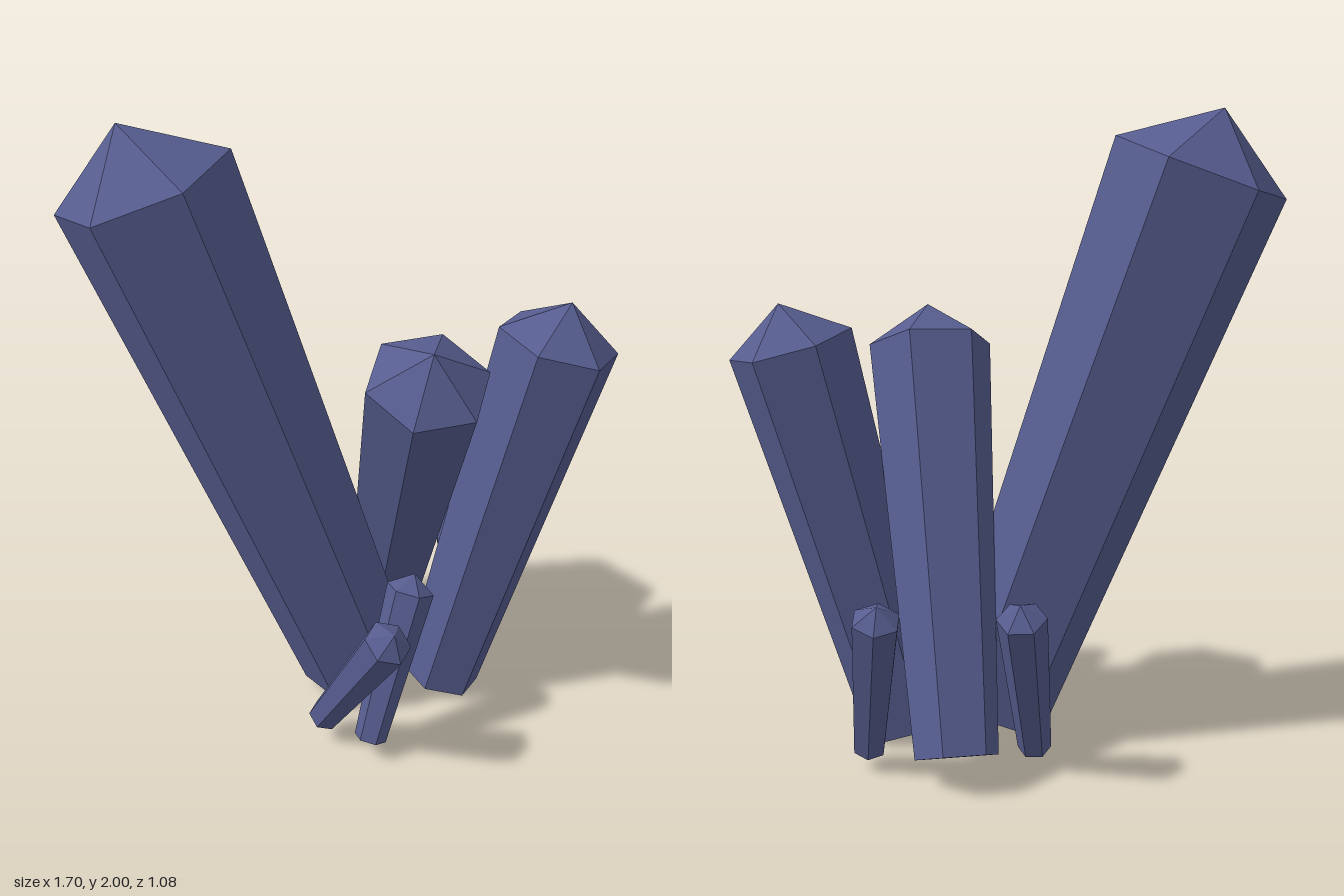
import * as THREE from 'three';

const material = new THREE.MeshStandardMaterial({ color: 0x565d8f, flatShading: true });

// Six-sided crystal from the base centre to the shoulder centre, with a pointed cap.
// corner = [x, z] heading of one of its six edges.
function crystal(name, base, shoulder, baseRadius, topRadius, capHeight, corner) {
  const from = new THREE.Vector3(...base);
  const axis = new THREE.Vector3(...shoulder).sub(from);
  const length = axis.length();
  axis.normalize();

  const geometry = new THREE.LatheGeometry([
    new THREE.Vector2(0, 0),
    new THREE.Vector2(baseRadius, 0),
    new THREE.Vector2(topRadius, length),
    new THREE.Vector2(0, length + capHeight),
  ], 6);

  // Roll the prism so that its first edge points to the corner heading
  const [cx, cz] = corner;
  const edge = new THREE.Vector3(cx, -(axis.x * cx + axis.z * cz) / axis.y, cz).normalize();
  const side = new THREE.Vector3().crossVectors(axis, edge);
  const mesh = new THREE.Mesh(geometry, material);
  mesh.quaternion.setFromRotationMatrix(new THREE.Matrix4().makeBasis(side, axis, edge));
  mesh.position.copy(from);
  mesh.name = name;
  return mesh;
}

export function createModel() {
  const group = new THREE.Group();
  group.name = 'crystalCluster';
  group.add(
    // Three large crystals
    crystal('tallLeaningCrystal', [0.04, 0.105, -0.035], [-0.59, 1.825, -0.035], 0.19, 0.277, 0.187, [1, 0]),
    crystal('sideCrystal', [0.325, 0.038, -0.035], [0.657, 1.293, -0.035], 0.132, 0.195, 0.13, [1, 0]),
    crystal('forwardLeaningCrystal', [0.153, 0.093, -0.41], [0.234, 1.255, 0.159], 0.13, 0.196, 0.133, [0.191, -0.043]),
    // Four small shards around the foot
    crystal('frontShard', [-0.087, 0.085, 0.24], [0.1, 0.535, 0.468], 0.052, 0.076, 0.05, [1, -0.15]),
    crystal('innerFrontShard', [0.058, 0.068, 0.338], [0.19, 0.557, 0.214], 0.052, 0.076, 0.052, [1, 0.3]),
    crystal('backShardRight', [-0.087, 0.065, -0.28], [-0.04, 0.557, -0.468], 0.052, 0.076, 0.052, [1, 0.1]),
    crystal('backShardLeft', [0.425, 0.065, -0.28], [0.385, 0.557, -0.472], 0.052, 0.076, 0.052, [0.05, -1]),
  );
  return group;
}
